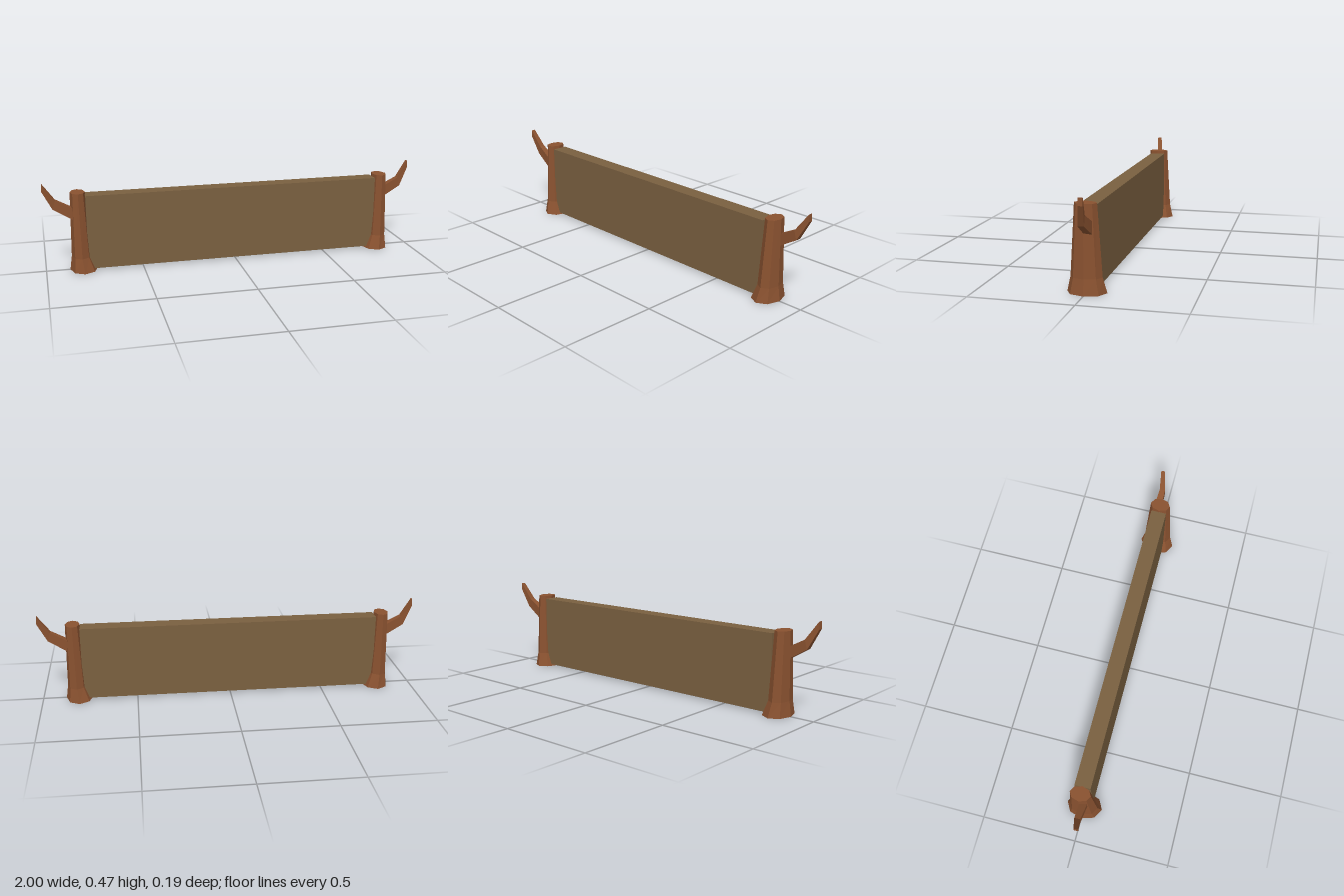
import * as THREE from 'three';

// Flat-faced solid through rings of points; rings run counterclockwise seen from the last end.
function loft(rings) {
  const n = rings[0].length;
  const positions = [];
  const tri = (a, b, c) => positions.push(...a, ...b, ...c);
  for (let r = 0; r < rings.length - 1; r++) {
    for (let i = 0; i < n; i++) {
      const j = (i + 1) % n;
      const a = rings[r], b = rings[r + 1];
      tri(a[i], a[j], b[j]);
      tri(a[i], b[j], b[i]);
    }
  }
  const first = rings[0], last = rings[rings.length - 1];
  for (let i = 1; i < n - 1; i++) {
    tri(first[0], first[i + 1], first[i]);
    tri(last[0], last[i], last[i + 1]);
  }
  const geometry = new THREE.BufferGeometry();
  geometry.setAttribute('position', new THREE.Float32BufferAttribute(positions, 3));
  geometry.computeVertexNormals();
  return geometry;
}

// Eight-sided oval ring of the trunk
function trunkRing([y, cx, rx, rz]) {
  return Array.from({ length: 8 }, (_, i) => {
    const a = (i * Math.PI) / 4;
    return [cx + rx * Math.cos(a), y, -rz * Math.sin(a)];
  });
}

// Four-sided section of the branch: lower and upper edge, front and back z
function branchRing([xLow, yLow, xTop, yTop, zFront, zBack]) {
  return [[xLow, yLow, zFront], [xLow, yLow, zBack], [xTop, yTop, zBack], [xTop, yTop, zFront]];
}

export function createModel() {
  const model = new THREE.Group();
  model.name = 'fence';
  const bark = new THREE.MeshStandardMaterial({ color: 0x8a5230, flatShading: true });
  bark.name = 'reddish bark';
  const board = new THREE.MeshStandardMaterial({ color: 0x7a6040, flatShading: true });
  board.name = 'brown board';

  const add = (parent, name, geometry, material) => {
    const mesh = new THREE.Mesh(geometry, material);
    mesh.name = name;
    parent.add(mesh);
    return mesh;
  };

  // Long board between the posts
  add(model, 'panel', new THREE.BoxGeometry(1.57, 0.39, 0.082), board).position.y = 0.205;

  // Post flared at the foot: y, centre x, radius x, radius z
  const trunk = loft([
    [0, 0.807, 0.071, 0.094],
    [0.075, 0.817, 0.05, 0.075],
    [0.415, 0.822, 0.038, 0.053],
  ].map(trunkRing));

  // Bent branch growing outward
  const branch = loft([
    [0.82, 0.262, 0.82, 0.322, 0, -0.038],
    [0.855, 0.28, 0.855, 0.34, 0, -0.038],
    [0.95, 0.337, 0.936, 0.383, 0, -0.03],
    [1.0, 0.436, 0.998, 0.473, -0.018, -0.04],
  ].map(branchRing));

  // The second post is the first turned half way round
  for (const [name, turn] of [['leftPost', 0], ['rightPost', Math.PI]]) {
    const post = new THREE.Group();
    post.name = name;
    post.rotation.y = turn;
    add(post, 'trunk', trunk, bark);
    add(post, 'branch', branch, bark);
    model.add(post);
  }
  return model;
}
